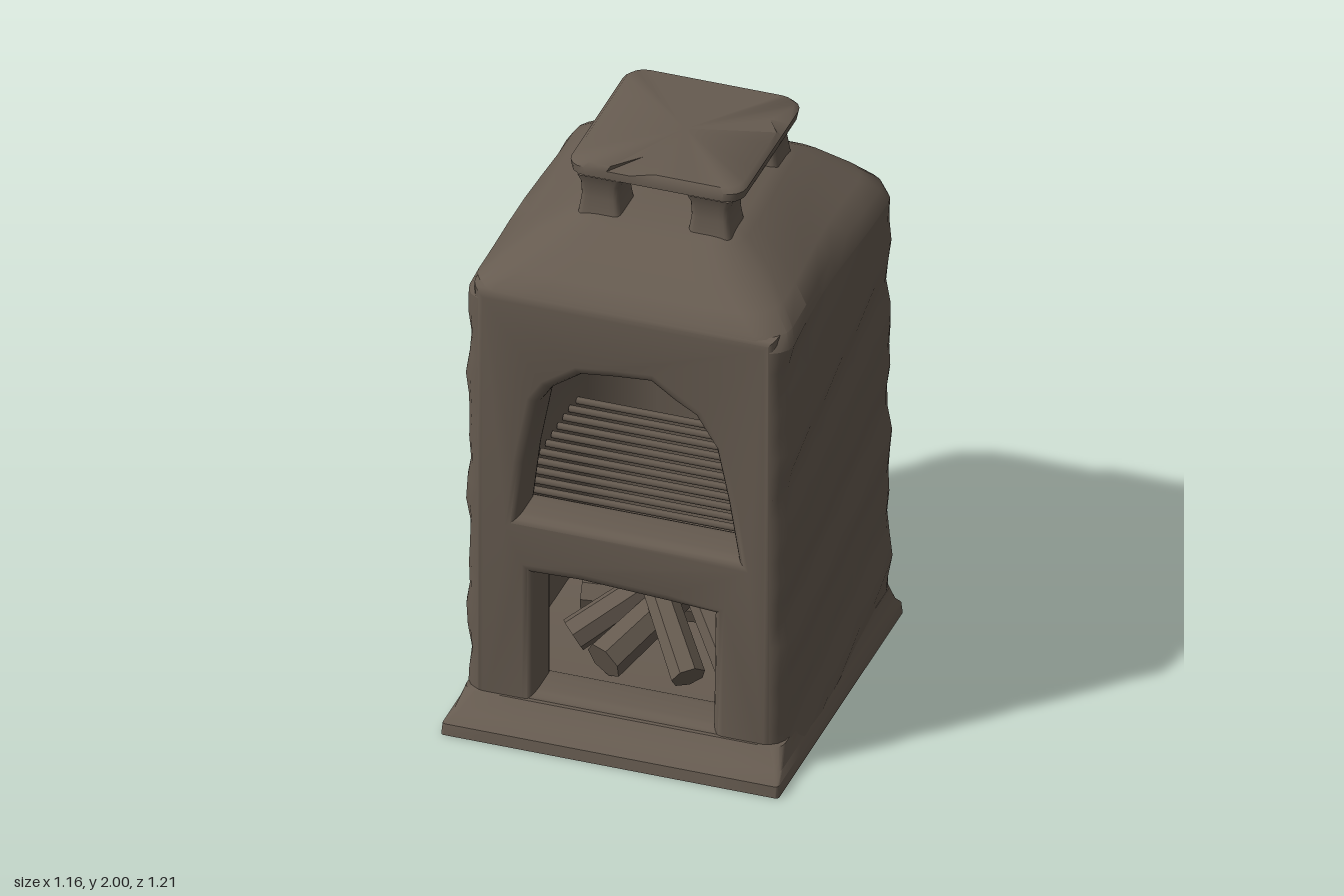
import * as THREE from 'three';
import { toCreasedNormals } from 'three/addons/utils/BufferGeometryUtils.js';

const stone = new THREE.MeshStandardMaterial({ color: 0x665b50 });
stone.name = 'brownStone';

// Joins rings of equal point count; optionally closes each ring and caps the ends
function loft(rings, { closed = true, start = false, end = false, crease = 0.8 } = {}) {
  const n = rings[0].length;
  const points = rings.flat();
  const index = [];
  for (let k = 0; k < rings.length - 1; k++) {
    for (let i = 0; i < (closed ? n : n - 1); i++) {
      const a = k * n + i, b = k * n + ((i + 1) % n);
      index.push(a, b, b + n, a, b + n, a + n);
    }
  }
  const cap = (ring, offset, flip) => {
    const c = new THREE.Vector3();
    ring.forEach((p) => c.addScaledVector(p, 1 / n));
    const id = points.push(c) - 1;
    for (let i = 0; i < n; i++) {
      const a = offset + i, b = offset + ((i + 1) % n);
      if (flip) index.push(b, a, id);
      else index.push(a, b, id);
    }
  };
  if (start) cap(rings[0], 0, true);
  if (end) cap(rings[rings.length - 1], (rings.length - 1) * n, false);
  const g = new THREE.BufferGeometry().setFromPoints(points);
  g.setIndex(index);
  return toCreasedNormals(g, crease);
}

// Horizontal rounded rectangle, from the front +x corner round the back;
// the front edge is only subdivided when the ring is full
function ring(y, hx, zf, zb, r, full = true) {
  const corners = [[hx - r, zf - r], [hx - r, zb + r], [-hx + r, zb + r], [-hx + r, zf - r]];
  const out = [];
  corners.forEach(([cx, cz], k) => {
    for (let i = 0; i <= 4; i++) {
      const t = Math.PI / 2 - (k + i / 4) * Math.PI / 2;
      out.push(new THREE.Vector3(cx + r * Math.cos(t), y, cz + r * Math.sin(t)));
    }
    if (k === 3 && !full) return;
    const from = out[out.length - 1].clone();
    const [nx, nz] = corners[(k + 1) % 4];
    const t = -k * Math.PI / 2;
    const to = new THREE.Vector3(nx + r * Math.cos(t), y, nz + r * Math.sin(t));
    for (let i = 1; i < 6; i++) out.push(from.clone().lerp(to, i / 6));
  });
  return out;
}

// Gentle hand-plastered unevenness, fading out at the front face
function wobble(p) {
  const fade = THREE.MathUtils.clamp((0.48 - p.z) / 0.06, 0, 1);
  const w = 0.007 * (Math.sin(p.y * 15 + p.z * 4) + Math.sin(p.y * 27 + p.x * 9 + p.z * 7));
  p.x += Math.sign(p.x) * Math.min(1, Math.abs(p.x) * 3) * w * fade;
  if (p.z < -0.5) p.z += 0.5 * w;
  return p;
}

const toPath = (pts, Type) => new Type(pts.map(([x, y]) => new THREE.Vector2(x, y)));

export function createModel() {
  const group = new THREE.Group();
  const add = (name, geometry, parent = group) => {
    const m = new THREE.Mesh(geometry, stone);
    m.name = name;
    parent.add(m);
    return m;
  };

  // Plinth with a sloped front ledge
  add('plinth', loft([
    ring(0, 0.578, 0.61, -0.59, 0.012),
    ring(0.04, 0.575, 0.605, -0.585, 0.012),
    ring(0.055, 0.56, 0.54, -0.58, 0.02),
    ring(0.11, 0.545, 0.488, -0.575, 0.04),
  ], { start: true, end: true }));

  // Side and back walls
  const wallRings = [];
  for (let i = 0; i <= 20; i++) {
    wallRings.push(ring(i * 0.08, 0.55, 0.48, -0.596, 0.08, false).map(wobble));
  }
  add('outerWalls', loft(wallRings, { closed: false }));

  // Shoulders drawing in to the chimney
  const roof = [
    [1.6, 0.55, 0.48, -0.596, 0.08], [1.65, 0.53, 0.465, -0.59, 0.09], [1.69, 0.47, 0.41, -0.575, 0.11],
    [1.75, 0.375, 0.31, -0.53, 0.12], [1.8, 0.29, 0.22, -0.45, 0.09], [1.82, 0.25, 0.17, -0.4, 0.06],
  ].map((a) => ring(...a).map(wobble));
  add('shoulders', loft(roof, { end: true }));

  // Front wall with the arched mouth and the firebox opening
  const front = toPath([[-0.52, 0], [0.52, 0], [0.52, 1.65], [-0.52, 1.65]], THREE.Shape);
  front.holes.push(
    toPath([[-0.36, 0.79], [-0.335, 1.0], [-0.29, 1.24], [-0.25, 1.3], [-0.15, 1.37], [-0.03, 1.385],
      [0.09, 1.395], [0.17, 1.34], [0.24, 1.3], [0.31, 1.19], [0.35, 1.0], [0.385, 0.79]], THREE.Path),
    toPath([[-0.305, 0.13], [-0.305, 0.58], [-0.15, 0.585], [0.15, 0.57], [0.305, 0.56], [0.3, 0.13]], THREE.Path),
  );
  const frontGeo = new THREE.ExtrudeGeometry(front, {
    depth: 0.1, bevelThickness: 0.045, bevelSize: 0.04, bevelOffset: -0.04, bevelSegments: 4,
  });
  frontGeo.translate(0, 0, 0.335);
  add('frontWall', toCreasedNormals(frontGeo, 0.8));

  // Hollow interior, rounded towards the back
  const outline = [[-0.44, 0.122], [0, 0.122], [0.44, 0.122], [0.44, 0.5], [0.44, 0.8], [0.43, 1.1], [0.36, 1.32],
    [0.2, 1.45], [0, 1.48], [-0.2, 1.45], [-0.36, 1.32], [-0.43, 1.1], [-0.44, 0.8], [-0.44, 0.5]];
  const liner = [[0.35, 1], [-0.2, 1], [-0.34, 0.95], [-0.42, 0.82], [-0.46, 0.5]].map(([z, s]) =>
    outline.map(([x, y]) => new THREE.Vector3(x * s, 0.75 + (y - 0.75) * s, z)));
  add('interior', loft(liner, { end: true, crease: 1 }));

  // Grill bars over the fire
  const grill = new THREE.Group();
  grill.name = 'grill';
  group.add(grill);
  for (let i = 0; i < 11; i++) {
    const bar = add('grillBar', new THREE.CylinderGeometry(0.012, 0.012, 0.87, 6), grill);
    bar.rotation.z = Math.PI / 2;
    bar.position.set(0, 0.775, 0.27 - i * 0.055);
  }

  // Stacked logs: front end, back end, radius
  const logs = new THREE.Group();
  logs.name = 'logs';
  group.add(logs);
  [
    [[-0.27, 0.2, 0.2], [-0.01, 0.38, 0], 0.06],
    [[-0.13, 0.19, 0.3], [0.02, 0.31, 0], 0.07],
    [[0.16, 0.19, 0.3], [-0.04, 0.38, 0.06], 0.058],
    [[0.27, 0.19, 0.2], [0.05, 0.43, 0], 0.055],
    [[-0.3, 0.25, 0.02], [0.1, 0.24, -0.05], 0.065],
  ].forEach(([a, b, r]) => {
    const p = new THREE.Vector3(...a), q = new THREE.Vector3(...b);
    const geo = new THREE.CylinderGeometry(r * 0.9, r, p.distanceTo(q), 7);
    const log = add('log', toCreasedNormals(geo, 0.6), logs);
    log.position.copy(p).lerp(q, 0.5);
    log.quaternion.setFromUnitVectors(new THREE.Vector3(0, 1, 0), q.sub(p).normalize());
  });

  // Four chimney posts, flaring at both ends
  for (const sx of [-1, 1]) {
    for (const sz of [-1, 1]) {
      const rings = [[1.76, 0.085], [1.81, 0.074], [1.87, 0.066], [1.92, 0.068], [1.955, 0.08]]
        .map(([y, h]) => ring(y, h, h, -h, 0.02));
      add('chimneyPost', loft(rings)).position.set(sx * 0.188, 0, -0.11 + sz * 0.222);
    }
  }

  // Chimney cap with chipped top edges at the front and the left side
  const capRings = [[1.935, 0.27, 0.16, -0.385], [1.955, 0.295, 0.19, -0.415], [1.985, 0.3, 0.19, -0.42], [2, 0.285, 0.178, -0.41]]
    .map(([y, hx, zf, zb]) => ring(y, hx, zf, zb, 0.06));
  const top = capRings[3];
  const chip = (x, z, dx, dz) => {
    const target = new THREE.Vector3(x, 2, z);
    const nearest = top.reduce((a, b) => (b.distanceTo(target) < a.distanceTo(target) ? b : a));
    nearest.x += dx;
    nearest.z += dz;
    nearest.y -= 0.008;
  };
  chip(-0.06, 0.178, 0, -0.1);
  chip(0.285, -0.25, -0.05, 0);
  add('chimneyCap', loft(capRings, { start: true, end: true }));

  return group;
}
